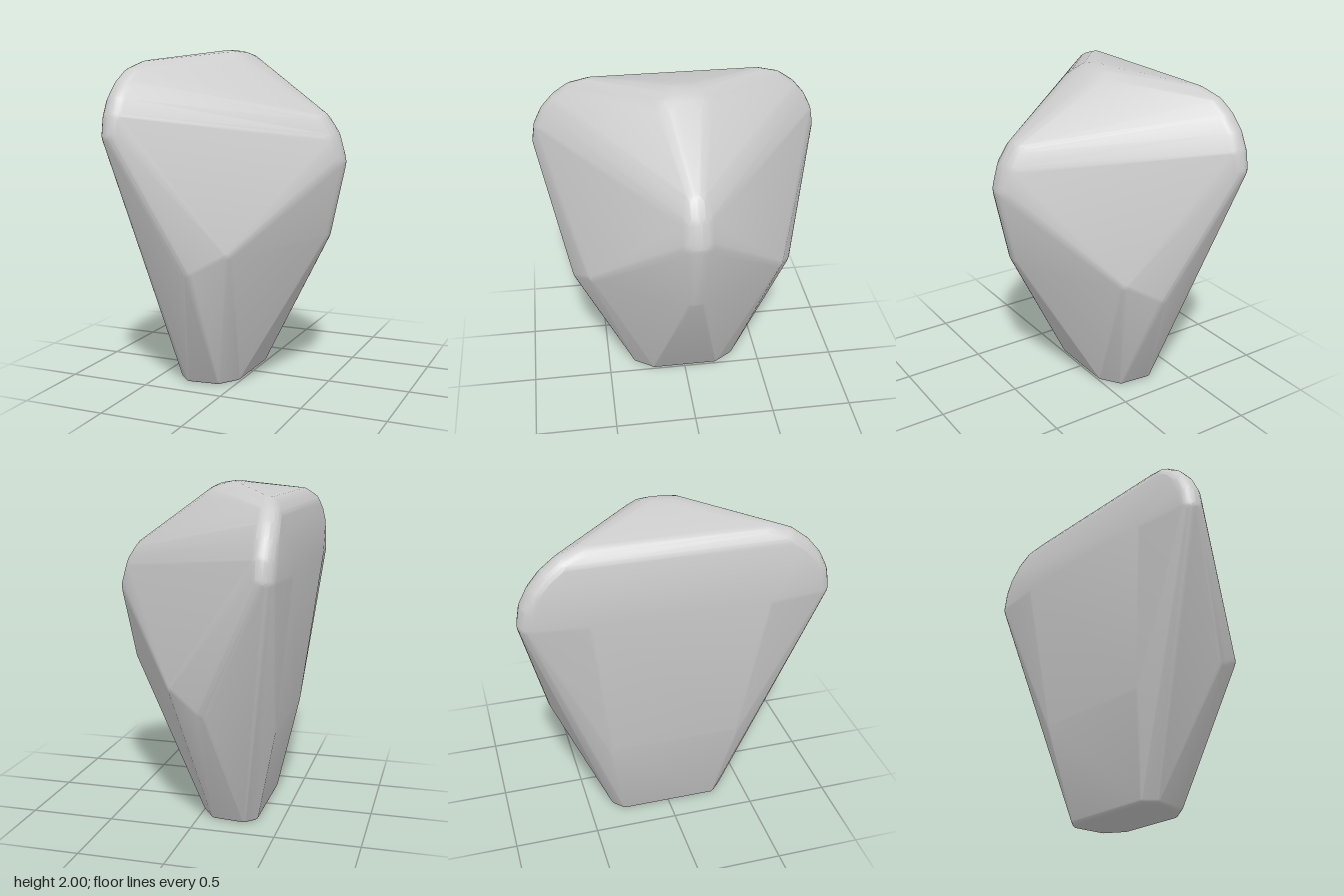
import * as THREE from 'three';
import { ConvexGeometry } from 'three/addons/geometries/ConvexGeometry.js';
import { mergeVertices, toCreasedNormals } from 'three/addons/utils/BufferGeometryUtils.js';

// Corner balls of the +z half: [x, y, z, radius]; the stone is their rounded hull.
const CORNERS = [
  // foot
  [-0.33, 0.03, 0.28, 0.03],
  [-0.28, 0.03, 0.33, 0.03],
  [-0.1, 0.03, 0.31, 0.03],
  [-0.025, 0.03, 0.2, 0.03],
  // shallow bulge of the back
  [-0.42, 0.6, 0.38, 0.06],
  [-0.49, 1.53, 0.5, 0.1],
  // side knuckle
  [-0.13, 0.78, 0.61, 0.09],
  [0.035, 0.87, 0.53, 0.09],
  // broad side lobe
  [-0.48, 1.53, 0.8, 0.08],
  [-0.48, 1.62, 0.785, 0.08],
  [-0.48, 1.7, 0.745, 0.08],
  [-0.475, 1.77, 0.685, 0.08],
  [-0.465, 1.825, 0.61, 0.08],
  [-0.44, 1.86, 0.5, 0.08],
  // crown
  [-0.14, 1.75, 0.05, 0.25],
  // pointed nose
  [0.375, 1.535, 0, 0.13],
  [0.425, 1.46, 0, 0.13],
  [0.455, 1.35, 0, 0.13],
  [0.415, 0.93, 0.01, 0.08],
];

// Unique unit directions of a small ball
function ballDirections() {
  const ball = new THREE.IcosahedronGeometry(1, 3);
  ball.deleteAttribute('normal');
  ball.deleteAttribute('uv');
  const pos = mergeVertices(ball, 1e-4).attributes.position;
  return Array.from({ length: pos.count }, (_, i) => new THREE.Vector3().fromBufferAttribute(pos, i));
}

export function createModel() {
  const group = new THREE.Group();
  group.name = 'stone';

  const directions = ballDirections();
  const points = [];
  for (const [x, y, z, r] of CORNERS) {
    for (const side of z === 0 ? [1] : [1, -1]) {
      const center = new THREE.Vector3(x, y, z * side);
      for (const d of directions) points.push(d.clone().multiplyScalar(r).add(center));
    }
  }

  const geometry = toCreasedNormals(new ConvexGeometry(points), 0.3);
  const body = new THREE.Mesh(geometry, new THREE.MeshStandardMaterial({ color: 0xcccccc }));
  body.name = 'stoneBody';
  group.add(body);
  return group;
}
